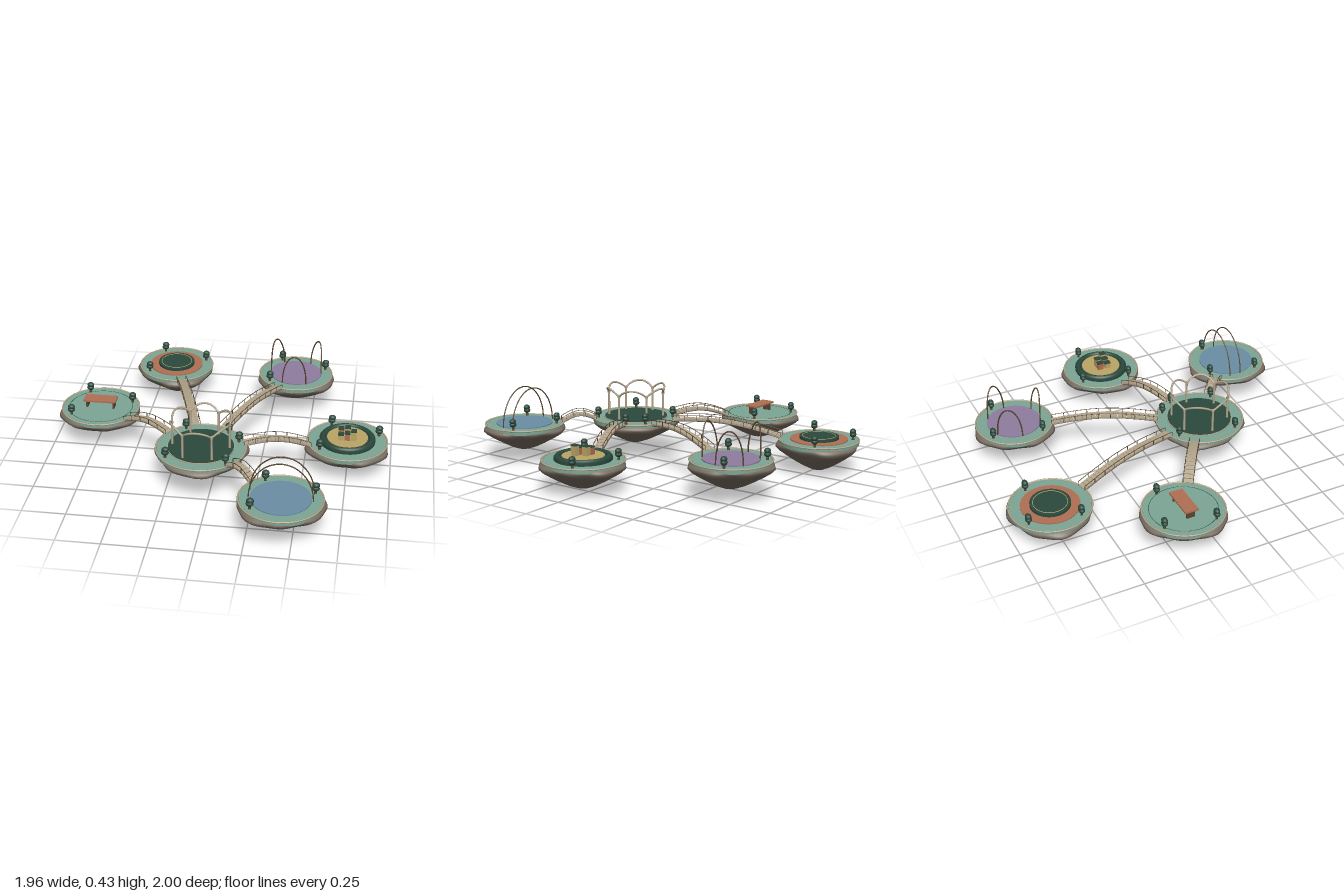
import * as THREE from 'three';

const mat = (name, color, side = THREE.FrontSide) => {
  const m = new THREE.MeshStandardMaterial({ color, side });
  m.name = name;
  return m;
};

export function createModel() {
  const M = {
    rock: mat('rock', 0x7a6d61), deck: mat('sage deck', 0x7ba594), leaf: mat('dark green', 0x2b4a3e),
    tan: mat('pale timber', 0xb3a58c), brown: mat('dark wood', 0x59452f), clay: mat('clay', 0xb06f54),
    violet: mat('violet', 0x8f7c9f), blue: mat('blue', 0x6b8ea6), gold: mat('gold', 0xbba566),
  };
  const model = new THREE.Group();
  model.name = 'floatingIslands';

  const add = (parent, name, geo, material, x = 0, y = 0, z = 0) => {
    const mesh = new THREE.Mesh(geo, material);
    mesh.name = name;
    mesh.position.set(x, y, z);
    parent.add(mesh);
    return mesh;
  };
  const disc = (parent, name, r, y0, h, material) =>
    add(parent, name, new THREE.CylinderGeometry(r, r, h, 64), material, 0, y0 + h / 2, 0);
  const ring = (parent, name, r, tube, y, material) => {
    const m = add(parent, name, new THREE.TorusGeometry(r, tube, 8, 72), material, 0, y, 0);
    m.rotation.x = Math.PI / 2;
    return m;
  };
  const tube = (parent, name, pts, r, material, closed = false) =>
    add(parent, name, new THREE.TubeGeometry(
      new THREE.CatmullRomCurve3(pts, closed), pts.length * 4, r, 6, closed), material);

  // Lobed, ridged rock bowl hanging below a deck of radius r
  const rockGeometry = (r, depth, phase) => {
    const profile = [[0, -1], [0.16, -0.97], [0.34, -0.86], [0.55, -0.69], [0.76, -0.5],
      [0.92, -0.34], [1, -0.22], [1, -0.14], [0.96, -0.08]]
      .map(([a, b]) => new THREE.Vector2(a * r, b * depth));
    const geo = new THREE.LatheGeometry(profile, 72);
    const p = geo.attributes.position;
    for (let i = 0; i < p.count; i++) {
      const x = p.getX(i), z = p.getZ(i), t = Math.atan2(z, x), y = p.getY(i) / depth;
      const low = THREE.MathUtils.clamp((-y - 0.06) / 0.14, 0, 1);
      const k = 1 + low * (0.055 * Math.cos(3 * (t - phase)) + 0.022 * Math.cos(8 * t + phase * 5));
      p.setXYZ(i, x * k + 0.02 * y * y * r, p.getY(i), z * k);
    }
    geo.computeVertexNormals();
    return geo;
  };

  const shrub = (parent, x, z) => {
    const g = new THREE.Group();
    g.name = 'shrub';
    g.position.set(x, 0, z);
    add(g, 'shrubStem', new THREE.CylinderGeometry(0.006, 0.008, 0.03, 8), M.brown, 0, 0.015, 0);
    add(g, 'shrubLower', new THREE.SphereGeometry(0.02, 14, 10), M.leaf, 0, 0.032, 0).scale.set(1.1, 0.8, 0.9);
    add(g, 'shrubUpper', new THREE.SphereGeometry(0.019, 14, 10), M.leaf, 0.002, 0.05, 0).scale.set(1.1, 0.85, 0.9);
    parent.add(g);
  };

  // Rock, deck, rim and shrubs; the group's origin is the deck surface
  const island = (name, x, y, z, r, depth, phase, shrubs) => {
    const g = new THREE.Group();
    g.name = name;
    g.position.set(x, y, z);
    add(g, 'rockBase', rockGeometry(r, depth, THREE.MathUtils.degToRad(phase)), M.rock);
    disc(g, 'deck', r * 0.975, -0.024, 0.024, M.deck);
    ring(g, 'rim', r * 0.975, 0.0045, 0, M.tan);
    const n = 40;
    for (let i = 0; i < n; i++) {
      const a = i / n * Math.PI * 2, q = r * 0.93;
      add(g, 'rimStud', new THREE.BoxGeometry(0.003, 0.005, 0.01), M.tan,
        q * Math.cos(a), 0.001, q * Math.sin(a)).rotation.y = -a;
    }
    shrubs.forEach(([sx, sz]) => shrub(g, sx, sz));
    model.add(g);
    return g;
  };

  const three = [[-0.1, -0.165], [0.178, -0.075], [-0.152, 0.12]];
  const hub = island('hubIsland', -0.065, 0.225, 0.31, 0.262, 0.155, 90,
    [[-0.115, -0.19], [0.135, -0.175], [0.205, -0.085], [0.16, 0.16], [-0.18, 0.14]]);
  const planter = island('planterIsland', -0.385, 0.178, -0.77, 0.235, 0.178, 65, three);
  const swing = island('archIsland', 0.385, 0.212, -0.68, 0.23, 0.16, 18, three);
  const table = island('tableIsland', -0.74, 0.188, -0.14, 0.235, 0.153, 28, three);
  const market = island('marketIsland', 0.745, 0.175, 0.04, 0.235, 0.16, 35, three);
  const pool = island('poolIsland', 0.43, 0.215, 0.76, 0.235, 0.155, 12, three);

  // Hub: dark court with a six-post scalloped pergola
  disc(hub, 'courtBorder', 0.19, 0, 0.006, M.tan);
  disc(hub, 'court', 0.186, 0, 0.009, M.leaf);
  const crown = [];
  for (let i = 0; i < 6; i++) {
    const a = i * Math.PI / 3;
    add(hub, 'pergolaPost', new THREE.CylinderGeometry(0.006, 0.007, 0.15, 10), M.tan,
      0.163 * Math.cos(a), 0.075, 0.163 * Math.sin(a));
    add(hub, 'postCap', new THREE.CylinderGeometry(0.009, 0.009, 0.012, 10), M.tan,
      0.163 * Math.cos(a), 0.147, 0.163 * Math.sin(a));
    for (let k = 0; k < 6; k++) {
      const t = k / 6, b = a + t * Math.PI / 3, s = Math.sin(t * Math.PI);
      const q = 0.163 + 0.012 * s;
      crown.push(new THREE.Vector3(q * Math.cos(b), 0.15 + 0.036 * s, q * Math.sin(b)));
    }
  }
  tube(hub, 'pergolaCrown', crown, 0.006, M.tan, true);

  // Planter island: clay court around a raised round bed
  disc(planter, 'clayCourt', 0.165, 0, 0.006, M.clay);
  disc(planter, 'plantBed', 0.113, 0, 0.022, M.leaf);
  ring(planter, 'bedTrim', 0.095, 0.002, 0.022, M.gold);

  // Arch island: three arches bent around the violet court
  disc(swing, 'violetCourt', 0.157, 0, 0.006, M.violet);
  for (const mid of [90, 210, 330]) {
    const pts = [];
    for (let i = 0; i <= 16; i++) {
      const u = i / 16 * Math.PI, a = THREE.MathUtils.degToRad(mid - 28 * Math.cos(u));
      pts.push(new THREE.Vector3(0.155 * Math.cos(a), 0.187 * Math.sin(u), 0.155 * Math.sin(a)));
    }
    tube(swing, 'courtArch', pts, 0.004, M.brown);
  }

  // Table island: long table on two trestles
  ring(table, 'deckSeam', 0.19, 0.0015, 0, M.leaf);
  add(table, 'tableTop', new THREE.BoxGeometry(0.195, 0.01, 0.08), M.clay, 0, 0.05, 0);
  for (const s of [-1, 1]) {
    add(table, 'tableLeg', new THREE.BoxGeometry(0.01, 0.045, 0.05), M.brown, s * 0.08, 0.0225, 0);
  }

  // Market island: green ring around a gold court with capped blocks
  disc(market, 'greenRing', 0.16, 0, 0.018, M.leaf);
  ring(market, 'greenRingEdge', 0.14, 0.016, 0.016, M.leaf);
  disc(market, 'goldCourt', 0.117, 0.018, 0.005, M.gold);
  const blocks = [[-0.037, -0.021, 0.045, M.clay], [0, -0.021, 0.055, M.gold],
    [-0.037, 0.027, 0.035, M.gold], [0, 0.027, 0.045, M.clay], [0.036, 0.027, 0.06, M.gold]];
  for (const [x, z, h, m] of blocks) {
    add(market, 'block', new THREE.BoxGeometry(0.03, h, 0.034), m, x, 0.018 + h / 2, z);
    add(market, 'blockCap', new THREE.BoxGeometry(0.033, 0.006, 0.037), M.leaf, x, 0.021 + h, z);
  }

  // Pool island: two parallel hoops over the water
  disc(pool, 'water', 0.165, 0, 0.006, M.blue);
  for (const z of [-0.065, 0.007]) {
    const pts = [];
    for (let i = 0; i <= 16; i++) {
      const u = i / 16 * Math.PI;
      pts.push(new THREE.Vector3(-0.173 * Math.cos(u), 0.216 * Math.sin(u), z));
    }
    tube(pool, 'poolHoop', pts, 0.0035, M.brown);
  }

  // Arched plank bridges from the hub, with stringers and rails
  const bridge = (target) => {
    const g = new THREE.Group();
    g.name = 'bridge';
    const dir = target.position.clone().sub(hub.position).setY(0);
    const len = dir.length();
    dir.normalize();
    const side = new THREE.Vector3(-dir.z, 0, dir.x);
    const d0 = 0.245, d1 = len - 0.222, span = d1 - d0;
    const at = (t, off = 0, up = 0) => hub.position.clone()
      .addScaledVector(dir, d0 + span * t).addScaledVector(side, off)
      .setY(THREE.MathUtils.lerp(hub.position.y, target.position.y, t) + 0.035 * Math.sin(Math.PI * t) + up);
    const n = Math.max(6, Math.round(span / 0.026));
    for (let i = 0; i < n; i++) {
      const t = (i + 0.5) / n;
      const plank = add(g, 'plank', new THREE.BoxGeometry(0.054, 0.009, span / n * 0.93), M.tan);
      plank.position.copy(at(t));
      plank.lookAt(at(t + 0.02));
    }
    for (const s of [-1, 1]) {
      const line = (off, up) => Array.from({ length: 13 }, (_, i) => at(i / 12, s * off, up));
      tube(g, 'stringer', line(0.024, -0.006), 0.005, M.rock);
      tube(g, 'handrail', line(0.029, 0.026), 0.002, M.brown);
      const posts = Math.max(3, Math.round(span / 0.07));
      for (let i = 0; i <= posts; i++) {
        const p = at(i / posts, s * 0.029, 0.011);
        add(g, 'railPost', new THREE.CylinderGeometry(0.002, 0.002, 0.03, 6), M.brown, p.x, p.y, p.z);
      }
    }
    model.add(g);
  };
  [planter, swing, table, market, pool].forEach(bridge);

  return model;
}
